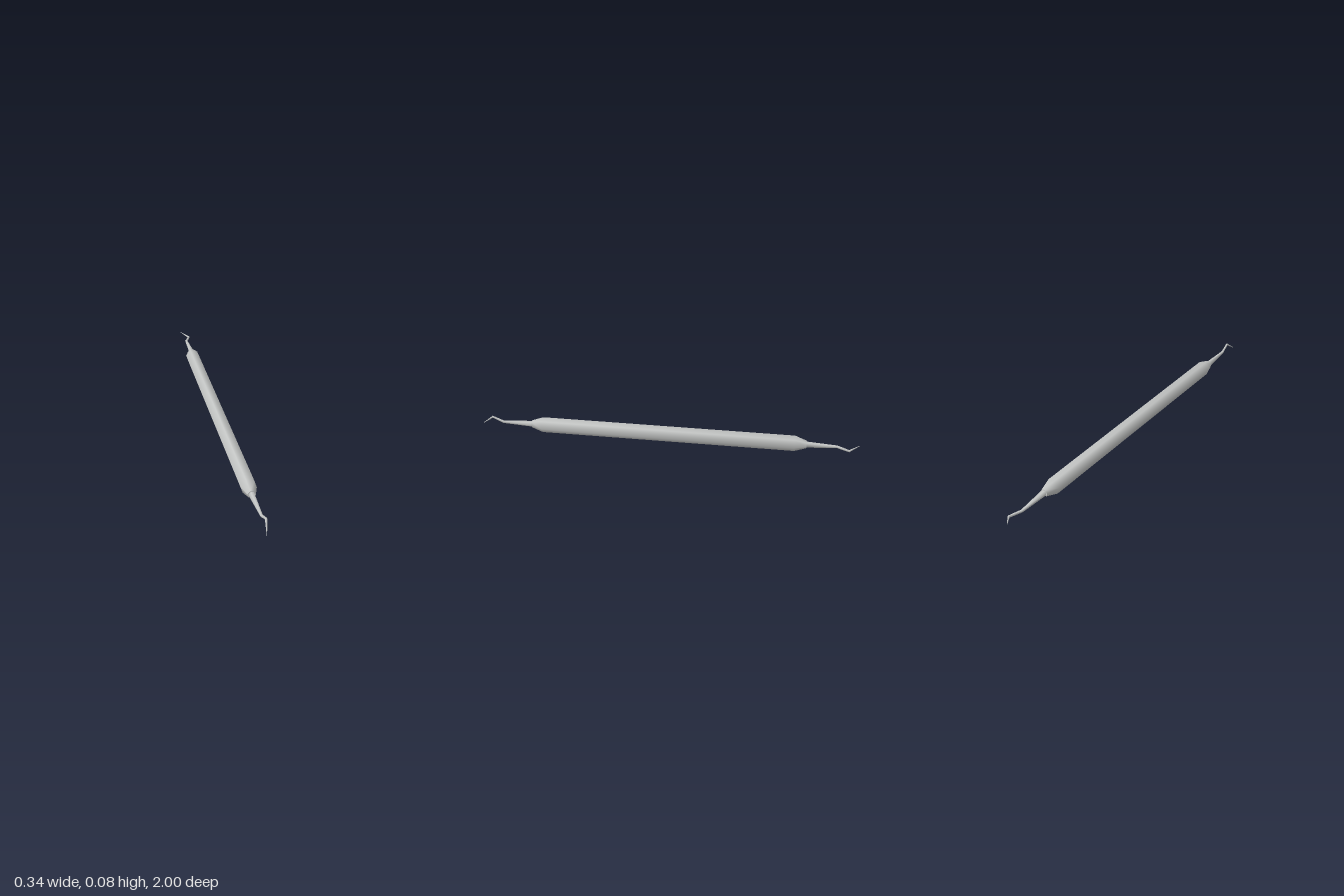
import * as THREE from 'three';
import { toCreasedNormals } from 'three/addons/utils/BufferGeometryUtils.js';

const SIDES = 6;
const PHASE = THREE.MathUtils.degToRad(48);

// Hexagonal loft along stations [x, y, z, radius], ordered from back to front, capped at both ends
function loft(stations) {
  const centers = stations.map(([x, y, z]) => new THREE.Vector3(x, y, z));
  const last = centers.length - 1;
  const up = new THREE.Vector3(0, 1, 0);
  const pos = [];
  const index = [];
  centers.forEach((c, i) => {
    const t = new THREE.Vector3();
    if (i > 0) t.add(c.clone().sub(centers[i - 1]).normalize());
    if (i < last) t.add(centers[i + 1].clone().sub(c).normalize());
    t.normalize();
    const right = up.clone().cross(t).normalize();
    const top = t.clone().cross(right);
    for (let j = 0; j < SIDES; j++) {
      const a = PHASE + (j / SIDES) * Math.PI * 2;
      const r = stations[i][3];
      const p = c.clone().addScaledVector(right, Math.cos(a) * r).addScaledVector(top, Math.sin(a) * r);
      pos.push(p.x, p.y, p.z);
    }
  });
  for (let i = 0; i < last; i++) {
    for (let j = 0; j < SIDES; j++) {
      const k = (j + 1) % SIDES;
      const a = i * SIDES + j, b = i * SIDES + k;
      index.push(a, b, b + SIDES, a, b + SIDES, a + SIDES);
    }
  }
  for (let j = 1; j < SIDES - 1; j++) {
    const e = last * SIDES;
    index.push(0, j + 1, j, e, e + j, e + j + 1);
  }
  const g = new THREE.BufferGeometry();
  g.setAttribute('position', new THREE.Float32BufferAttribute(pos, 3));
  g.setIndex(index);
  return toCreasedNormals(g, 1.1);
}

export function createModel() {
  const steel = new THREE.MeshStandardMaterial({ color: 0xc4c6c5 });
  steel.name = 'brushed steel';
  const group = new THREE.Group();
  group.name = 'doubleEndedProbe';
  const add = (name, stations) => {
    const mesh = new THREE.Mesh(loft(stations), steel);
    mesh.name = name;
    group.add(mesh);
  };

  // Grip with a tapered shoulder at each end
  add('handle', [
    [0.102, 0.0385, -0.73, 0.02],
    [0.09, 0.0385, -0.67, 0.0405],
    [-0.113, 0.0385, 0.665, 0.0405],
    [-0.123, 0.0385, 0.725, 0.02],
  ]);

  // Front shank, rising to an elbow and hooking down to the point
  add('frontTip', [
    [-0.122, 0.0385, 0.715, 0.0165],
    [-0.144, 0.04, 0.885, 0.007],
    [-0.149, 0.067, 0.943, 0.006],
    [-0.169, 0.022, 1.0, 0.001],
  ]);

  // Back shank, kinked sideways and returning to the point
  add('backTip', [
    [0.127, 0.045, -1.0, 0.001],
    [0.16, 0.031, -0.94, 0.006],
    [0.124, 0.037, -0.885, 0.007],
    [0.102, 0.0385, -0.72, 0.0165],
  ]);

  return group;
}
